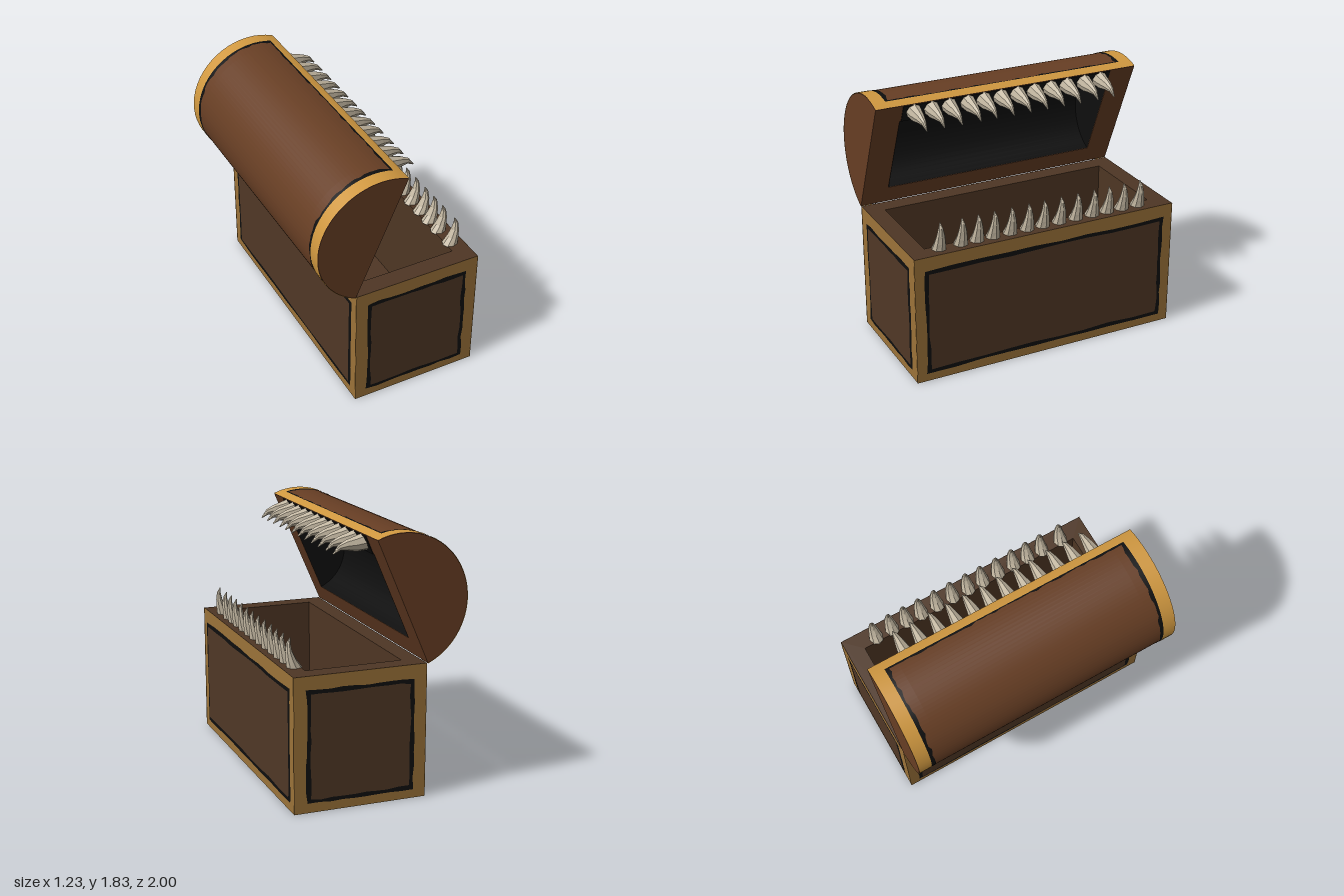
import * as THREE from 'three';

const mat = (name, color, double = false) => {
  const m = new THREE.MeshStandardMaterial({ color, side: double ? THREE.DoubleSide : THREE.FrontSide });
  m.name = name;
  return m;
};

export function createModel() {
  const M = {
    frame: mat('gold frame', 0x9c7339, true),
    trim: mat('bright gold trim', 0xd09840, true),
    panel: mat('dark wood panel', 0x503826, true),
    inner: mat('dark wood body', 0x4e3624),
    lid: mat('red brown lid', 0x673e24),
    black: mat('black', 0x0e0e0e, true),
    tooth: mat('bone', 0xc4b8a2, true),
  };
  const model = new THREE.Group();
  model.name = 'toothedChest';
  const add = (name, geo, material, parent = model) => {
    const mesh = new THREE.Mesh(geo, material);
    mesh.name = name;
    parent.add(mesh);
    return mesh;
  };
  let seed = 7;
  const jitter = (amp) => {
    seed = (seed * 16807) % 2147483647;
    return (seed / 2147483647 - 0.5) * 2 * amp;
  };

  // ---- Base: open box, x -0.33..0.61, z -1..1 ----
  const X0 = -0.335, X1 = 0.61, H = 0.94, CX = (X0 + X1) / 2, W = X1 - X0;
  const rect = (P, x0, y0, x1, y1) => {
    const p = new P();
    p.moveTo(x0, y0).lineTo(x1, y0).lineTo(x1, y1).lineTo(x0, y1).closePath();
    return p;
  };
  const e = 0.003;
  const wallShape = rect(THREE.Shape, X0 + e, -1 + e, X1 - e, 1 - e);
  wallShape.holes.push(rect(THREE.Path, -0.205, -0.87, 0.48, 0.87));
  const walls = new THREE.ExtrudeGeometry(wallShape, { depth: H, bevelEnabled: false });
  walls.rotateX(-Math.PI / 2);
  add('baseWalls', walls, M.inner);
  add('baseFloor', new THREE.BoxGeometry(W - 2 * e, 0.12, 2 - 2 * e), M.inner).position.set(CX, 0.06, 0);

  // Rectangle with hand-painted, uneven edges
  const roughRect = (x0, y0, x1, y1, amp) => {
    const corners = [[x0, y0], [x1, y0], [x1, y1], [x0, y1]];
    const pts = [];
    corners.forEach(([ax, ay], i) => {
      const [bx, by] = corners[(i + 1) % 4];
      const n = 9;
      for (let k = 0; k < n; k++) {
        const t = k / n;
        pts.push(new THREE.Vector2(ax + (bx - ax) * t + jitter(amp), ay + (by - ay) * t + jitter(amp)));
      }
    });
    return new THREE.ShapeGeometry(new THREE.Shape(pts));
  };

  // Four sides: gold frame, black outline, wood panel
  const side = (name, width, x, z, turn) => {
    const g = new THREE.Group();
    g.name = name;
    g.position.set(x, 0, z);
    g.rotation.y = turn;
    const h = width / 2, m = width > 1.5 ? 0.075 : 0.09;
    add('frame', new THREE.PlaneGeometry(width, H), M.frame, g).position.set(0, H / 2, -0.002);
    add('outline', roughRect(-h + m, 0.062, h - m, 0.845, 0.007), M.black, g).position.z = 0;
    add('panel', roughRect(-h + m + 0.027, 0.09, h - m - 0.027, 0.815, 0.006), M.panel, g).position.z = 0.002;
    model.add(g);
  };
  side('frontSide', W, CX, 1, 0);
  side('backSide', W, CX, -1, Math.PI);
  side('leftSide', 2, X1, 0, Math.PI / 2);
  side('rightSide', 2, X0, 0, -Math.PI / 2);

  // ---- Lid: half cylinder tipped open ----
  const LX = -0.155, LY = 1.365, R = 0.463, RI = 0.322, ZI = 0.81;
  const A0 = THREE.MathUtils.degToRad(66.5), A1 = A0 + Math.PI;
  const lid = new THREE.Group();
  lid.name = 'lid';
  lid.position.set(LX, LY, 0);
  model.add(lid);
  const halfDisc = (r) => new THREE.Shape().absarc(0, 0, r, A0, A1, false);
  const extrude = (shape, depth) => new THREE.ExtrudeGeometry(shape, { depth, bevelEnabled: false, curveSegments: 28 });
  for (const z of [-1, ZI]) add('lidEnd', extrude(halfDisc(R), 1 - ZI), M.lid, lid).position.z = z;
  const shell = halfDisc(R);
  shell.absarc(0, 0, RI, A1, A0, true);
  add('lidShell', extrude(shell, 2 * ZI), M.lid, lid).position.z = -ZI;

  // Curved patch: rule(u, v) gives [angle, z]
  const patch = (name, material, r, nu, nv, rule) => {
    const geo = new THREE.PlaneGeometry(1, 1, nu, nv);
    const p = geo.attributes.position, uv = geo.attributes.uv;
    for (let i = 0; i < p.count; i++) {
      const [a, z] = rule(uv.getX(i), uv.getY(i));
      p.setXYZ(i, r * Math.cos(a), r * Math.sin(a), z);
    }
    geo.computeVertexNormals();
    add(name, geo, material, lid);
  };
  const mix = THREE.MathUtils.lerp;
  const S = 0.145; // angle of the front trim strip
  // Black lining of the lid
  patch('lidLining', M.black, RI - 0.003, 28, 1, (u, v) => [mix(A0, A1, u), mix(-ZI, ZI, v)]);
  for (const z of [-ZI + 0.003, ZI - 0.003])
    add('liningEnd', new THREE.ShapeGeometry(halfDisc(RI), 28), M.black, lid).position.z = z;
  // Black gum strip behind the upper teeth
  const gum = add('gum', new THREE.BoxGeometry(0.135, 0.006, 1.6), M.black, lid);
  gum.position.set(0.39 * Math.cos(A0) + 0.002 * Math.sin(A0), 0.39 * Math.sin(A0) - 0.002 * Math.cos(A0), 0);
  gum.rotation.z = A0;

  // Gold trim with uneven black lining along both ends and the front edge
  for (const s of [-1, 1]) {
    patch('endTrim', M.trim, R + 0.004, 28, 1,
      (u, v) => [mix(A0, A1, u), s > 0 ? mix(0.905, 1, v) : mix(-1, -0.905, v)]);
    patch('endOutline', M.black, R + 0.002, 40, 1, (u, v) => {
      const edge = 0.88 + jitter(0.011);
      return [mix(A0, A1, u), s > 0 ? mix(edge, 0.92, v) : mix(-0.92, -edge, v)];
    });
  }
  patch('frontTrim', M.trim, R + 0.004, 4, 1, (u, v) => [mix(A0, A0 + S, u), mix(-1, 1, v)]);
  patch('frontOutline', M.black, R + 0.002, 2, 40,
    (u, v) => [A0 + S - 0.02 + u * (0.046 + jitter(0.016)), mix(-0.91, 0.91, v)]);

  // ---- Teeth: loft through sections [ax, ay, bx, by, halfWidth] ----
  const toothGeometry = (sections) => {
    const N = 8, pos = [], idx = [];
    for (const [ax, ay, bx, by, w] of sections)
      for (let j = 0; j < N; j++) {
        const c = Math.cos((j / N) * 2 * Math.PI), s = Math.sin((j / N) * 2 * Math.PI);
        pos.push((ax + bx) / 2 + ((bx - ax) / 2) * c, (ay + by) / 2 + ((by - ay) / 2) * c, w * s);
      }
    for (let i = 0; i < sections.length - 1; i++)
      for (let j = 0; j < N; j++) {
        const a = i * N + j, b = i * N + ((j + 1) % N);
        idx.push(a, a + N, b, b, a + N, b + N);
      }
    const geo = new THREE.BufferGeometry();
    geo.setAttribute('position', new THREE.Float32BufferAttribute(pos, 3));
    geo.setIndex(idx);
    const flat = geo.toNonIndexed();
    flat.computeVertexNormals();
    return flat;
  };
  const lower = toothGeometry([
    [0.46, 0.935, 0.57, 0.935, 0.052],
    [0.50, 0.99, 0.575, 0.99, 0.042],
    [0.53, 1.05, 0.577, 1.05, 0.031],
    [0.541, 1.10, 0.57, 1.105, 0.018],
    [0.54, 1.14, 0.546, 1.142, 0.003],
  ]);
  const upper = toothGeometry([
    [0.025, 1.79, -0.015, 1.675, 0.054],
    [0.075, 1.772, 0.06, 1.668, 0.044],
    [0.135, 1.752, 0.12, 1.678, 0.031],
    [0.19, 1.722, 0.175, 1.683, 0.018],
    [0.23, 1.665, 0.224, 1.66, 0.003],
  ]);
  for (const z of [0.78, 0.62, 0.5, 0.38, 0.25, 0.12, 0, -0.13, -0.26, -0.39, -0.51, -0.63, -0.76])
    add('lowerTooth', lower, M.tooth).position.z = z;
  for (const z of [0.72, 0.59, 0.46, 0.32, 0.2, 0.07, -0.06, -0.19, -0.32, -0.45, -0.59, -0.72])
    add('upperTooth', upper, M.tooth).position.z = z;

  return model;
}
